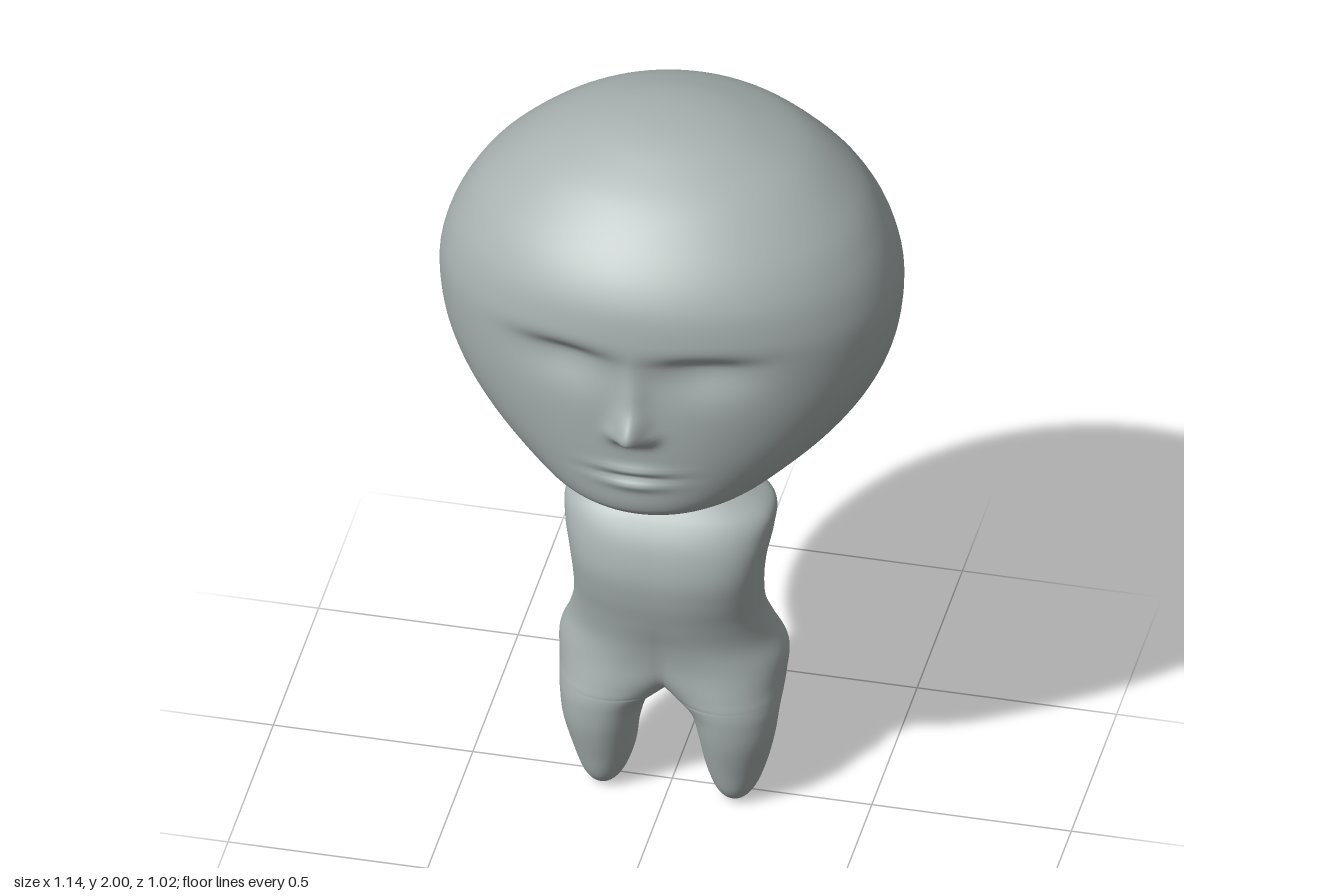
import * as THREE from 'three';
import { mergeGeometries, mergeVertices } from 'three/addons/utils/BufferGeometryUtils.js';

// Smooth interpolation through rows of numbers
function sample(rows, t) {
  const n = rows.length - 1;
  const i = Math.min(Math.floor(t), n - 1), f = t - i;
  const at = k => rows[Math.max(0, Math.min(n, k))];
  return rows[i].map((_, k) => {
    const a = at(i - 1)[k], b = at(i)[k], c = at(i + 1)[k], d = at(i + 2)[k];
    const m0 = (c - a) / 2, m1 = (d - b) / 2, f2 = f * f, f3 = f2 * f;
    return (2 * f3 - 3 * f2 + 1) * b + (f3 - 2 * f2 + f) * m0 + (3 * f2 - 2 * f3) * c + (f3 - f2) * m1;
  });
}

// Skin a grid of cross-sections, listed from bottom to top
function loft(rows, steps, sides, point, flip = false) {
  const pos = [], index = [], count = (rows.length - 1) * steps;
  for (let i = 0; i <= count; i++) {
    const row = sample(rows, i / steps);
    for (let j = 0; j <= sides; j++) {
      const [x, y, z] = point(row, j / sides);
      pos.push(flip ? -x : x, y, z);
      if (i < count && j < sides) {
        const a = i * (sides + 1) + j, b = a + 1, c = a + sides + 1, d = c + 1;
        if (flip) index.push(a, b, c, b, d, c);
        else index.push(a, c, b, b, c, d);
      }
    }
  }
  const geo = new THREE.BufferGeometry();
  geo.setAttribute('position', new THREE.Float32BufferAttribute(pos, 3));
  geo.setIndex(index);
  return geo;
}

// Join the seams so the shading runs smoothly across them
function weld(geo) {
  const out = mergeVertices(geo, 1e-4);
  out.computeVertexNormals();
  return out;
}

const bell = (v, mid, below, above = below) => {
  const d = (v - mid) / (v < mid ? below : above);
  return Math.exp(-d * d);
};

// Face relief: nose, eye hollows and lips
function relief(x, y) {
  const ax = Math.abs(x);
  let d = 0.062 * bell(ax, 0, 0.038) * bell(y, 1.36, 0.03, 0.055); // nose tip
  d += 0.012 * bell(ax, 0.045, 0.025) * bell(y, 1.345, 0.025); // nostrils
  d += 0.018 * bell(ax, 0, 0.035) * bell(y, 1.45, 0.08); // bridge
  d -= 0.034 * bell(ax, 0.17, 0.11, 0.12) * bell(y, 1.55, 0.075, 0.035); // eyes
  d -= 0.008 * bell(ax, 0, 0.3) * bell(y, 1.5, 0.12, 0.07); // below the brow
  d += 0.012 * bell(ax, 0, 0.085) * (bell(y, 1.235, 0.014) + bell(y, 1.19, 0.016)); // lips
  d -= 0.008 * bell(ax, 0, 0.09) * bell(y, 1.213, 0.009); // mouth line
  return d;
}

// y, half width, front z, back z
const headRows = [
  [0.95, 0, 0.12, 0.12], [0.953, 0.035, 0.165, 0.07], [0.995, 0.13, 0.25, -0.11],
  [1.04, 0.215, 0.335, -0.235], [1.08, 0.285, 0.4, -0.29], [1.12, 0.34, 0.425, -0.33],
  [1.21, 0.438, 0.435, -0.4], [1.31, 0.512, 0.444, -0.452], [1.42, 0.557, 0.453, -0.486],
  [1.54, 0.572, 0.46, -0.508], [1.63, 0.56, 0.459, -0.503], [1.72, 0.524, 0.44, -0.474],
  [1.81, 0.46, 0.38, -0.412], [1.905, 0.345, 0.275, -0.32], [1.966, 0.21, 0.165, -0.19],
  [1.993, 0.1, 0.085, -0.085], [2, 0, 0.01, 0.01],
];

function headPoint([y, w, zf, zb], v) {
  // The widest point drifts forward toward the chin
  const low = Math.max(0, 1.5 - y) / 0.55, zc = 0.01 + 0.11 * low * low;
  // Sides gather toward the front, where the face needs detail
  const s = v * 2 * Math.PI, a = s - 0.55 * Math.sin(s);
  const x = w * Math.sin(a), c = Math.cos(a);
  const z = zc + (c > 0 ? zf - zc : zc - zb) * c;
  return [-x, y, z + (c > 0.2 ? relief(x, y) * Math.min(1, (c - 0.2) * 3) : 0)];
}

// One half of the body: y, outer x, centre x, inner x (below zero where the halves join), front z, back z
const bodyRows = [
  [0, 0.165, 0.165, 0.165, 0.03, 0.03], [0.006, 0.19, 0.165, 0.14, 0.058, 0.002],
  [0.04, 0.218, 0.165, 0.112, 0.087, -0.045], [0.11, 0.243, 0.163, 0.088, 0.11, -0.07],
  [0.2, 0.264, 0.16, 0.074, 0.135, -0.07], [0.27, 0.273, 0.153, 0.051, 0.145, -0.094],
  [0.312, 0.278, 0.143, 0, 0.146, -0.135], [0.35, 0.281, 0.128, -0.06, 0.142, -0.167],
  [0.42, 0.284, 0.093, -0.18, 0.136, -0.185], [0.49, 0.258, 0.053, -0.222, 0.145, -0.164],
  [0.57, 0.238, 0.015, -0.23, 0.169, -0.125], [0.65, 0.235, 0, -0.235, 0.191, -0.11],
  [0.73, 0.242, 0, -0.242, 0.2, -0.113], [0.81, 0.257, 0, -0.257, 0.185, -0.131],
  [0.87, 0.257, 0, -0.257, 0.152, -0.135], [0.91, 0.202, 0, -0.202, 0.113, -0.132],
  [0.95, 0.117, 0, -0.117, 0.072, -0.124], [0.99, 0.08, 0, -0.08, 0.04, -0.105],
  [1, 0, 0, 0, -0.03, -0.03],
];

function bodyPoint([y, w, c, xi, zf, zb], v) {
  const inner = c - xi, open = inner > c && inner > 1e-5;
  // The chest is squarer in section than the legs
  const e = 1 - 0.2 * THREE.MathUtils.smoothstep(y, 0.45, 0.75);
  const round = n => Math.sign(n) * Math.pow(Math.abs(n), e);
  const limit = open ? Math.acos(-Math.pow(Math.max(0, c) / inner, 1 / e)) : Math.PI;
  const a = (v * 2 - 1) * limit;
  const cos = round(Math.cos(a));
  let x = c + (cos > 0 ? w - c : inner) * cos;
  if (x < 1e-4 || (open && (v === 0 || v === 1))) x = 0;
  return [x, y, (zf + zb) / 2 + (zf - zb) / 2 * round(Math.sin(a))];
}

export function createModel() {
  const group = new THREE.Group();
  const clay = new THREE.MeshStandardMaterial({ color: 0xa8b2b0 });
  clay.name = 'grey clay';

  const head = new THREE.Mesh(weld(loft(headRows, 10, 150, headPoint)), clay);
  head.name = 'head';

  // Torso and legs, mirrored and welded along the middle
  const halves = [false, true].map(flip => loft(bodyRows, 7, 64, bodyPoint, flip));
  const body = new THREE.Mesh(weld(mergeGeometries(halves)), clay);
  body.name = 'body';

  group.add(head, body);
  return group;
}
